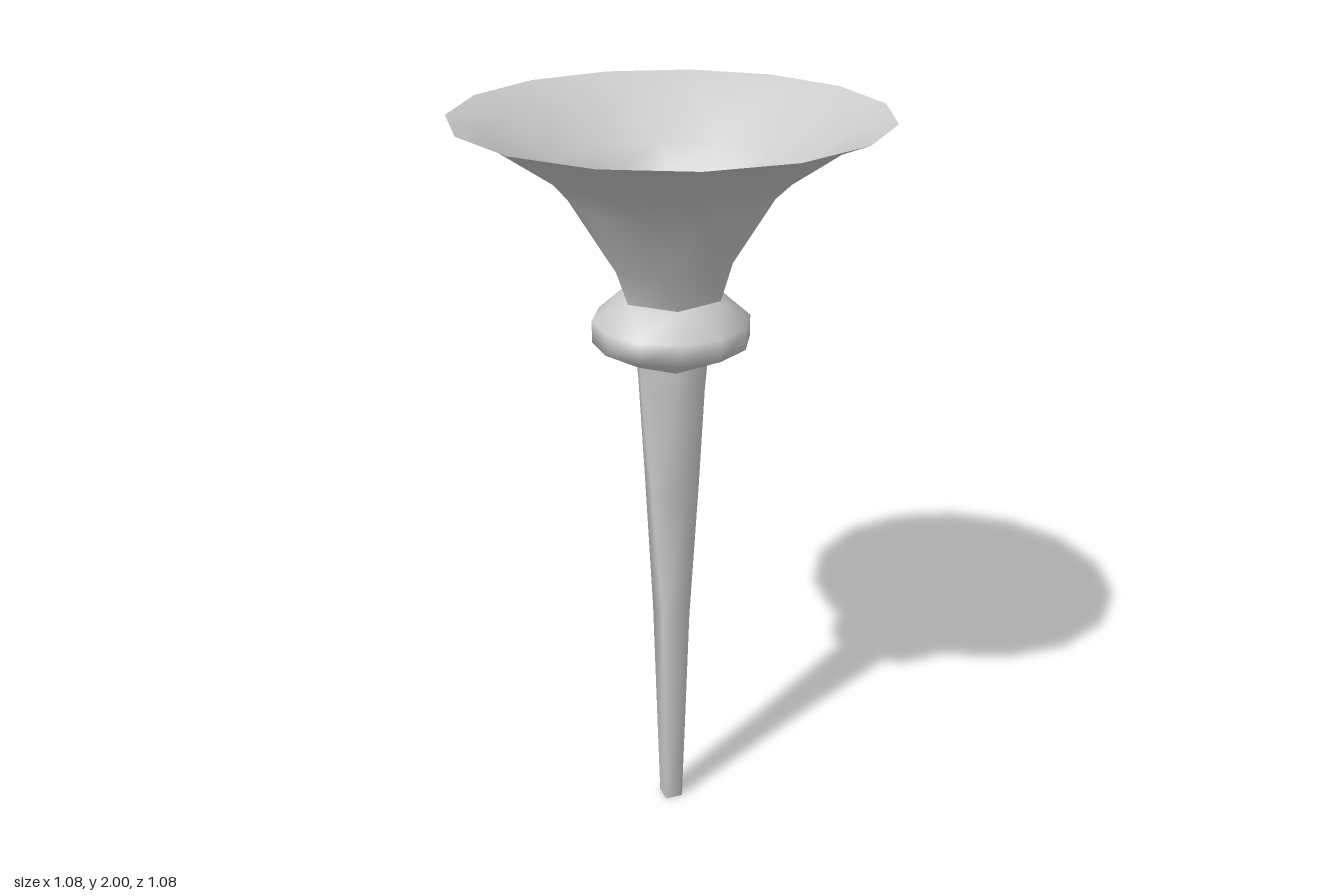
import * as THREE from 'three';

const material = new THREE.MeshStandardMaterial({ color: 0xcccccc, side: THREE.DoubleSide });

// Thin skin through horizontal rings [y, radius, sides], listed from bottom to top.
// Neighbouring rings may have different side counts; they are zipped together by angle.
function loft(name, rings) {
  const positions = [], index = [], starts = [];
  for (const [y, r, n] of rings) {
    starts.push(positions.length / 3);
    for (let i = 0; i < n; i++) {
      const a = Math.PI + (i / n) * Math.PI * 2;
      positions.push(r * Math.cos(a), y, r * Math.sin(a));
    }
  }
  for (let k = 0; k < rings.length - 1; k++) {
    const n = rings[k][2], m = rings[k + 1][2];
    const low = (i) => starts[k] + (i % n);
    const high = (j) => starts[k + 1] + (j % m);
    let i = 0, j = 0;
    while (i < n || j < m) {
      if (j >= m || (i < n && (i + 0.5) / n <= (j + 0.5) / m)) {
        index.push(low(i), high(j), low(i + 1));
        i++;
      } else {
        index.push(low(i), high(j), high(j + 1));
        j++;
      }
    }
  }
  const geometry = new THREE.BufferGeometry();
  geometry.setAttribute('position', new THREE.Float32BufferAttribute(positions, 3));
  geometry.setIndex(index);
  geometry.computeVertexNormals();
  const mesh = new THREE.Mesh(geometry, material);
  mesh.name = name;
  return mesh;
}

export function createModel() {
  const group = new THREE.Group();
  group.name = 'flaredHorn';

  // Hollow tapering stem, six sides at the top and four at the tip
  group.add(loft('stem', [
    [0, 0.035, 4], [0.62, 0.055, 4], [1.0, 0.076, 5], [1.3, 0.094, 6], [1.37, 0.1, 6],
  ]));

  // Flat end closing the tip
  const tip = new THREE.Mesh(new THREE.CircleGeometry(0.035, 4), material);
  tip.name = 'stemTip';
  tip.rotation.x = Math.PI / 2;
  group.add(tip);

  // Rounded hollow collar
  group.add(loft('collar', [
    [1.37, 0.104, 6], [1.425, 0.204, 12], [1.482, 0.204, 12], [1.545, 0.135, 6],
  ]));

  // Open flaring bell, gaining sides towards the rim
  group.add(loft('bell', [
    [1.545, 0.135, 6], [1.625, 0.155, 7], [1.8, 0.257, 11],
    [1.86, 0.312, 12], [1.965, 0.462, 14], [2.0, 0.545, 15],
  ]));

  for (const part of group.children) part.position.x = 0.003;
  return group;
}
